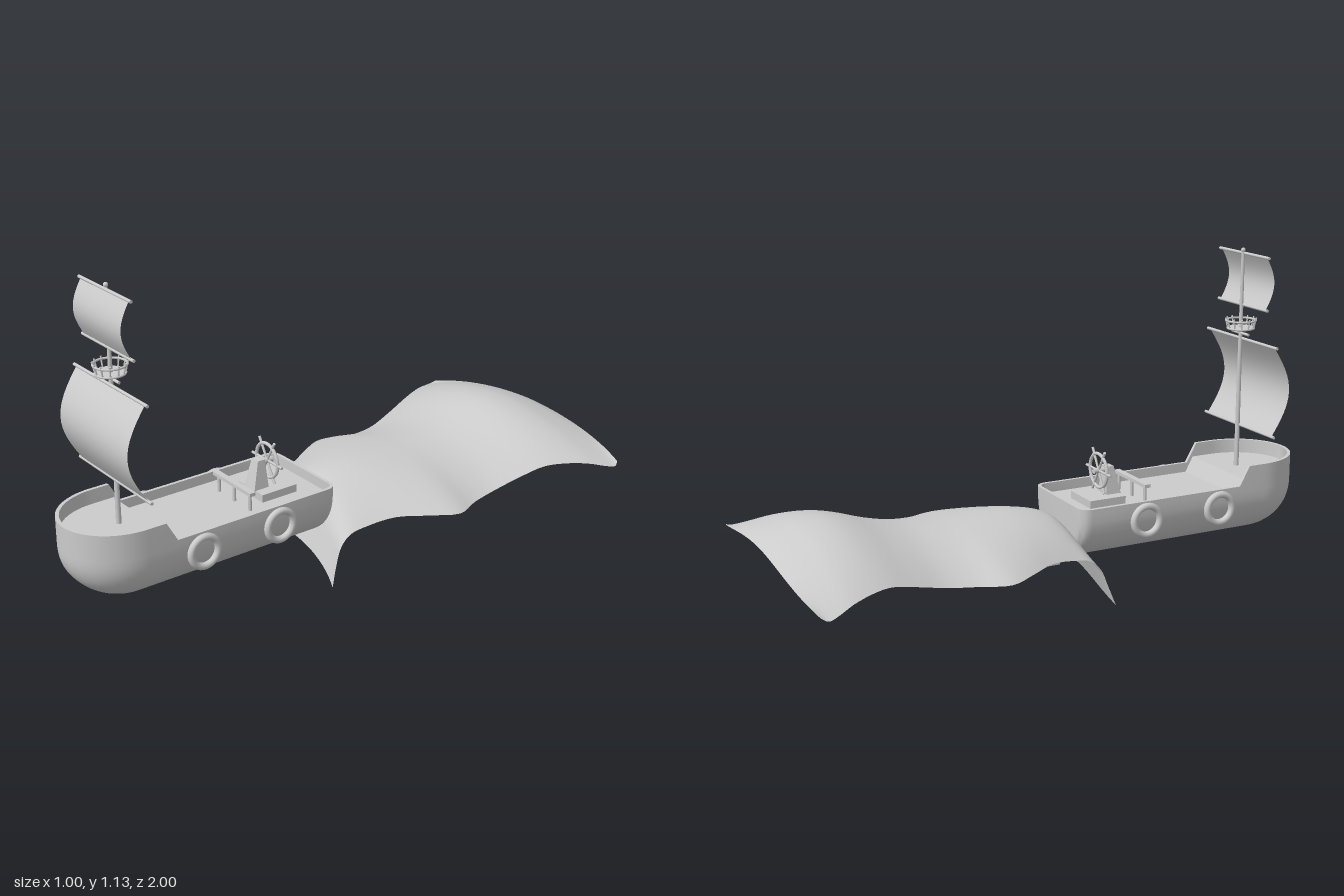
import * as THREE from 'three';
import { toCreasedNormals } from 'three/addons/utils/BufferGeometryUtils.js';

const mat = new THREE.MeshStandardMaterial({ color: 0xcccccc });
const sheetMat = new THREE.MeshStandardMaterial({ color: 0xcccccc, side: THREE.DoubleSide });

function add(parent, name, geometry, x = 0, y = 0, z = 0, material = mat) {
  const mesh = new THREE.Mesh(geometry, material);
  mesh.name = name;
  mesh.position.set(x, y, z);
  parent.add(mesh);
  return mesh;
}

// Surface over a grid of points given by fn(i, j)
function grid(rows, cols, fn) {
  const pos = [], index = [];
  for (let i = 0; i <= rows; i++) {
    for (let j = 0; j <= cols; j++) {
      pos.push(...fn(i, j));
      if (i === rows || j === cols) continue;
      const a = i * (cols + 1) + j, b = a + 1, c = a + cols + 1, d = c + 1;
      index.push(a, c, b, b, c, d);
    }
  }
  const g = new THREE.BufferGeometry();
  g.setAttribute('position', new THREE.Float32BufferAttribute(pos, 3));
  g.setIndex(index);
  g.computeVertexNormals();
  return g;
}

// Rod between two points
function rod(parent, name, from, to, r0, r1 = r0, sides = 10) {
  const a = new THREE.Vector3(...from), b = new THREE.Vector3(...to);
  const dir = b.clone().sub(a);
  const mesh = add(parent, name, new THREE.CylinderGeometry(r1, r0, dir.length(), sides));
  mesh.position.copy(a).add(b).multiplyScalar(0.5);
  mesh.quaternion.setFromUnitVectors(new THREE.Vector3(0, 1, 0), dir.normalize());
  return mesh;
}

const DECK = 0.285, FOREDECK = 0.34;
const { clamp, mapLinear } = THREE.MathUtils;
const ramp = (v, a, b, from, to) => clamp(mapLinear(v, a, b, from, to), Math.min(from, to), Math.max(from, to));
const arc = s => Math.sqrt(Math.max(0, 1 - s * s));

// One closed hull section: deck, bulwark, topside and bilge, then mirrored
function hullSection(z) {
  const bow = clamp((z - 0.8) / 0.2, 0, 1), stern = clamp((0.105 - z) / 0.04, 0, 1);
  const width = z > 0.5 ? 0.18 * arc(bow) : 0.14 + 0.04 * arc(stern);
  const inner = z > 0.5
    ? 0.168 * arc(clamp((z - 0.8) / 0.188, 0, 1))
    : 0.14 + 0.028 * arc(clamp((0.105 - z) / 0.028, 0, 1));
  const top = ramp(z, 0.695, 0.735, 0.32, 0.39);
  const keel = 0.12 + 0.17 * (1 - arc(bow)) + 0.03 * (1 - arc(stern));
  const deck = z < 0.077 || inner === 0 ? top : ramp(z, 0.69, 0.72, DECK, FOREDECK);
  const half = [[0, deck], [inner, deck], [inner, top], [width, top]];
  for (let k = 0; k <= 12; k++) {
    const t = k / 12 * Math.PI / 2;
    const x = k === 12 ? 0 : width * Math.cos(t) ** 0.88;
    half.push([x, 0.3 - (0.3 - keel) * Math.sin(t) ** 0.88]);
  }
  const mirrored = half.slice(0, -1).reverse().map(([x, y]) => [-x, y]);
  return [...half, ...mirrored].map(([x, y]) => [x, y, z]);
}

function buildHull(parent) {
  const zs = [0.065, 0.067, 0.071, 0.0769, 0.077, 0.08, 0.086, 0.094, 0.105, 0.3, 0.5, 0.69, 0.695, 0.72, 0.735];
  for (let i = 0; i <= 20; i++) zs.push(0.8 + 0.2 * Math.sin(i / 20 * Math.PI / 2));
  const sections = zs.map(hullSection);
  // Flat transom
  sections.unshift(sections[0].map(([, y, z]) => [0, y, z]));
  const g = grid(sections.length - 1, sections[0].length - 1, (i, j) => sections[i][j]);
  add(parent, 'hull', toCreasedNormals(g, 0.6));
  add(parent, 'rudder', new THREE.BoxGeometry(0.014, 0.09, 0.08), 0, 0.122, 0.032);

  // Ring fenders on both sides
  for (const x of [-0.19, 0.19]) {
    for (const z of [0.31, 0.605]) {
      add(parent, 'ringFender', new THREE.TorusGeometry(0.051, 0.012, 12, 32), x, 0.255, z).rotation.y = Math.PI / 2;
    }
  }
}

function buildHelm(parent) {
  const helm = new THREE.Group();
  helm.name = 'helm';
  parent.add(helm);
  add(helm, 'helmPlatform', new THREE.BoxGeometry(0.14, 0.03, 0.14), 0, DECK + 0.012, 0.225);

  // Tapered pedestal
  const side = new THREE.Shape([[0.3, 0.305], [0.24, 0.305], [0.247, 0.41], [0.275, 0.41]].map(p => new THREE.Vector2(...p)));
  const g = new THREE.ExtrudeGeometry(side, { depth: 0.06, bevelEnabled: false });
  g.rotateY(-Math.PI / 2);
  const p = g.attributes.position;
  for (let i = 0; i < p.count; i++) {
    const x = p.getX(i) + 0.03;
    p.setX(i, x * ramp(p.getY(i), 0.305, 0.41, 1, 0.6));
  }
  g.computeVertexNormals();
  add(helm, 'pedestal', g);

  // Steering wheel
  const cy = 0.395, cz = 0.225;
  add(helm, 'wheelRim', new THREE.TorusGeometry(0.06, 0.006, 8, 32), 0, cy, cz);
  rod(helm, 'wheelAxle', [0, cy, 0.205], [0, cy, 0.26], 0.01);
  for (let i = 0; i < 6; i++) {
    const a = i * Math.PI / 3, c = Math.cos(a), s = Math.sin(a);
    rod(helm, 'wheelSpoke', [0, cy, cz], [0.085 * c, cy + 0.085 * s, cz], 0.004, 0.005, 8);
  }

  // Rail in front of the helm
  add(helm, 'rail', new THREE.BoxGeometry(0.216, 0.012, 0.022), 0, 0.348, 0.36);
  for (const x of [-0.09, 0, 0.09]) rod(helm, 'railPost', [x, DECK, 0.36], [x, 0.345, 0.36], 0.006);
}

function buildRig(parent) {
  const rig = new THREE.Group();
  rig.name = 'rig';
  parent.add(rig);
  const z = 0.8;
  rod(rig, 'mast', [0, FOREDECK - 0.01, z], [0, 1.125, z], 0.009, 0.006, 12);
  add(rig, 'mastCap', new THREE.SphereGeometry(0.008, 12, 8), 0, 1.127, z);

  // Square sails, each between two yards
  for (const [low, high, width, yard, belly] of [[0.493, 0.81, 0.203, 0.218, 0.068], [0.932, 1.115, 0.14, 0.152, 0.033]]) {
    for (const y of [low, high]) rod(rig, 'yard', [-yard, y, z + 0.005], [yard, y, z + 0.005], 0.0055);
    const sail = grid(16, 1, (i, j) => [
      (j * 2 - 1) * width, low + (high - low) * i / 16, z + 0.005 + belly * Math.sin(Math.PI * i / 16),
    ]);
    add(rig, 'sail', sail, 0, 0, 0, sheetMat);
  }

  // Lookout basket
  rod(rig, 'crossBar', [-0.05, 0.83, z], [0.05, 0.83, z], 0.005);
  add(rig, 'basketFloor', new THREE.CylinderGeometry(0.047, 0.047, 0.006, 28), 0, 0.848, z);
  for (const [r, y] of [[0.047, 0.848], [0.053, 0.876]]) {
    add(rig, 'basketRing', new THREE.TorusGeometry(r, 0.004, 8, 32), 0, y, z).rotation.x = Math.PI / 2;
  }
  for (let i = 0; i < 12; i++) {
    const a = i * Math.PI / 6, c = Math.cos(a), s = Math.sin(a);
    rod(rig, 'basketPost', [0.046 * c, 0.847, z + 0.046 * s], [0.055 * c, 0.885, z + 0.055 * s], 0.003, 0.003, 6);
  }
}

// Flowing cape, arched across and waving along its length
function buildCape(parent) {
  // centre z, edge z, half width, centre y, edge y
  const rows = [
    [0.125, 0.15, 0.262, 0.09, 0], [0.1, 0.125, 0.25, 0.16, 0.07], [0.075, 0.1, 0.245, 0.22, 0.13],
    [0.04, 0.06, 0.245, 0.26, 0.165], [0, 0, 0.255, 0.28, 0.18], [-0.1, -0.1, 0.285, 0.3, 0.195],
    [-0.2, -0.2, 0.345, 0.305, 0.195], [-0.3, -0.3, 0.39, 0.303, 0.19], [-0.4, -0.4, 0.355, 0.3, 0.19],
    [-0.5, -0.5, 0.345, 0.305, 0.2], [-0.6, -0.6, 0.36, 0.325, 0.225], [-0.7, -0.7, 0.385, 0.357, 0.25],
    [-0.77, -0.77, 0.415, 0.37, 0.253], [-0.85, -0.85, 0.455, 0.365, 0.245], [-0.92, -0.91, 0.487, 0.345, 0.23],
    [-0.96, -0.945, 0.5, 0.33, 0.225], [-1, -0.965, 0.49, 0.31, 0.235],
  ];
  const centre = new THREE.CatmullRomCurve3(rows.map(r => new THREE.Vector3(0, r[3], r[0])));
  const edge = new THREE.CatmullRomCurve3(rows.map(r => new THREE.Vector3(r[2], r[4], r[1])));
  const n = 64, m = 32;
  const g = grid(n, m, (i, j) => {
    const c = centre.getPoint(i / n), e = edge.getPoint(i / n);
    const u = j / m * 2 - 1, a = Math.abs(u);
    return [u * e.x, c.y + (e.y - c.y) * a ** 1.8, c.z + (e.z - c.z) * a ** 4];
  });
  add(parent, 'cape', g, 0, 0, 0, sheetMat);
}

export function createModel() {
  const model = new THREE.Group();
  model.name = 'capedShip';
  buildHull(model);
  buildHelm(model);
  buildRig(model);
  buildCape(model);
  return model;
}
